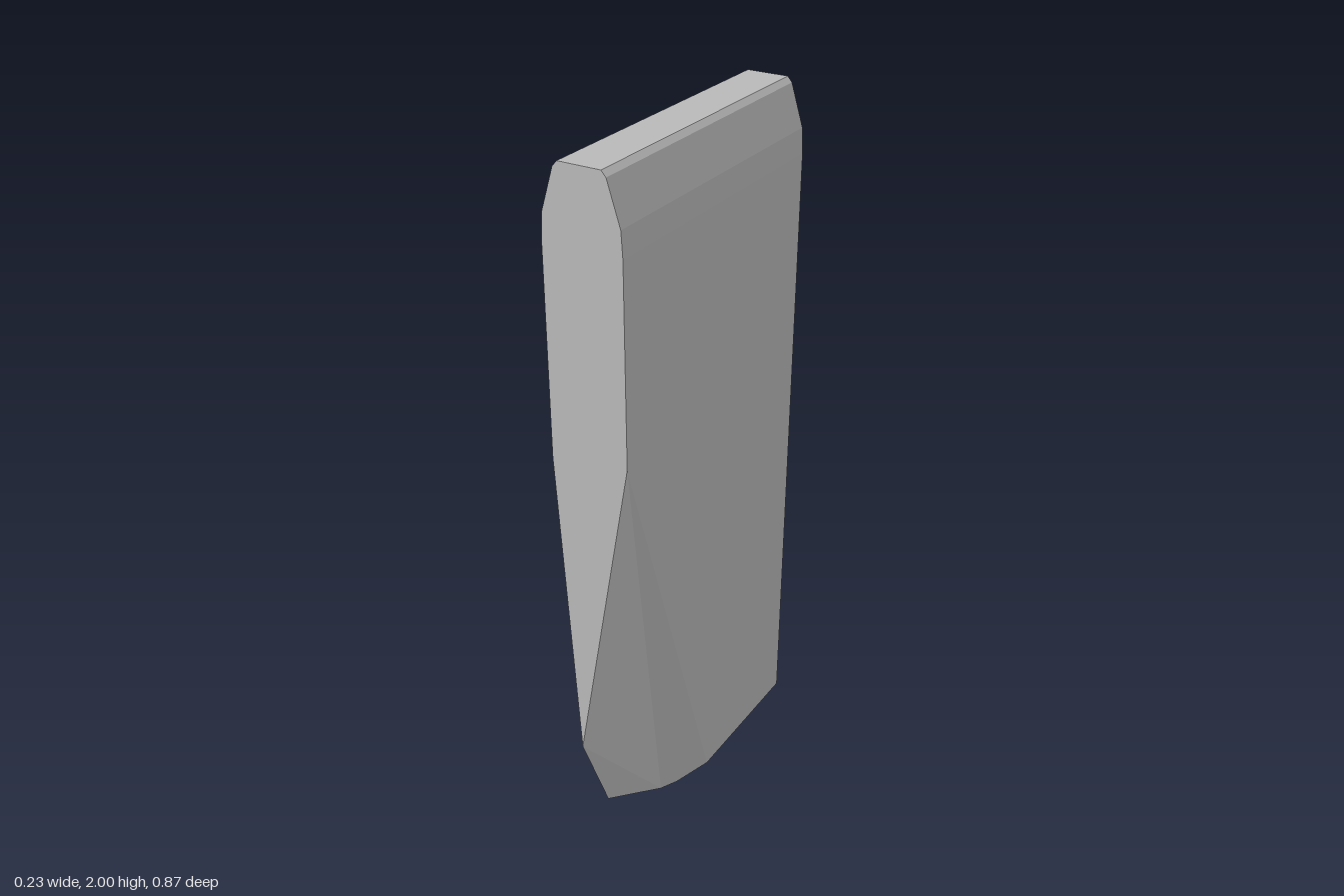
import * as THREE from 'three';
import { ConvexGeometry } from 'three/addons/geometries/ConvexGeometry.js';

export function createModel() {
  const group = new THREE.Group();
  const stoneGrey = new THREE.MeshStandardMaterial({ color: 0xb8b8b8 });
  stoneGrey.name = 'stoneGrey';

  const points = [];
  const add = (x, y, z) => points.push(new THREE.Vector3(x, y, z));

  // chamfered top and shoulders, running from back to front
  for (const side of [-1, 1]) {
    for (const [x, y] of [[0.06, 2], [0.073, 1.985], [0.109, 1.87], [0.113, 1.8]]) {
      add(side * x, y, 0.435);
      add(side * x, y, -0.435);
    }
    // square back corners at the foot
    add(side * 0.11, 0, -0.42);
  }

  // V-shaped lower end of the front face
  add(-0.113, 1.22, 0.435);
  add(0.112, 1.25, 0.435);
  add(-0.06, 0.29, 0.435);

  // cut-away outline of the foot
  const foot = [
    [-0.11, 0.13], [-0.104, 0.18], [-0.06, 0.32],
    [0.05, 0.2], [0.075, 0.15], [0.11, 0.03],
  ];
  for (const [x, z] of foot) add(x, 0, z);

  const slab = new THREE.Mesh(new ConvexGeometry(points), stoneGrey);
  slab.name = 'slab';
  group.add(slab);
  return group;
}
